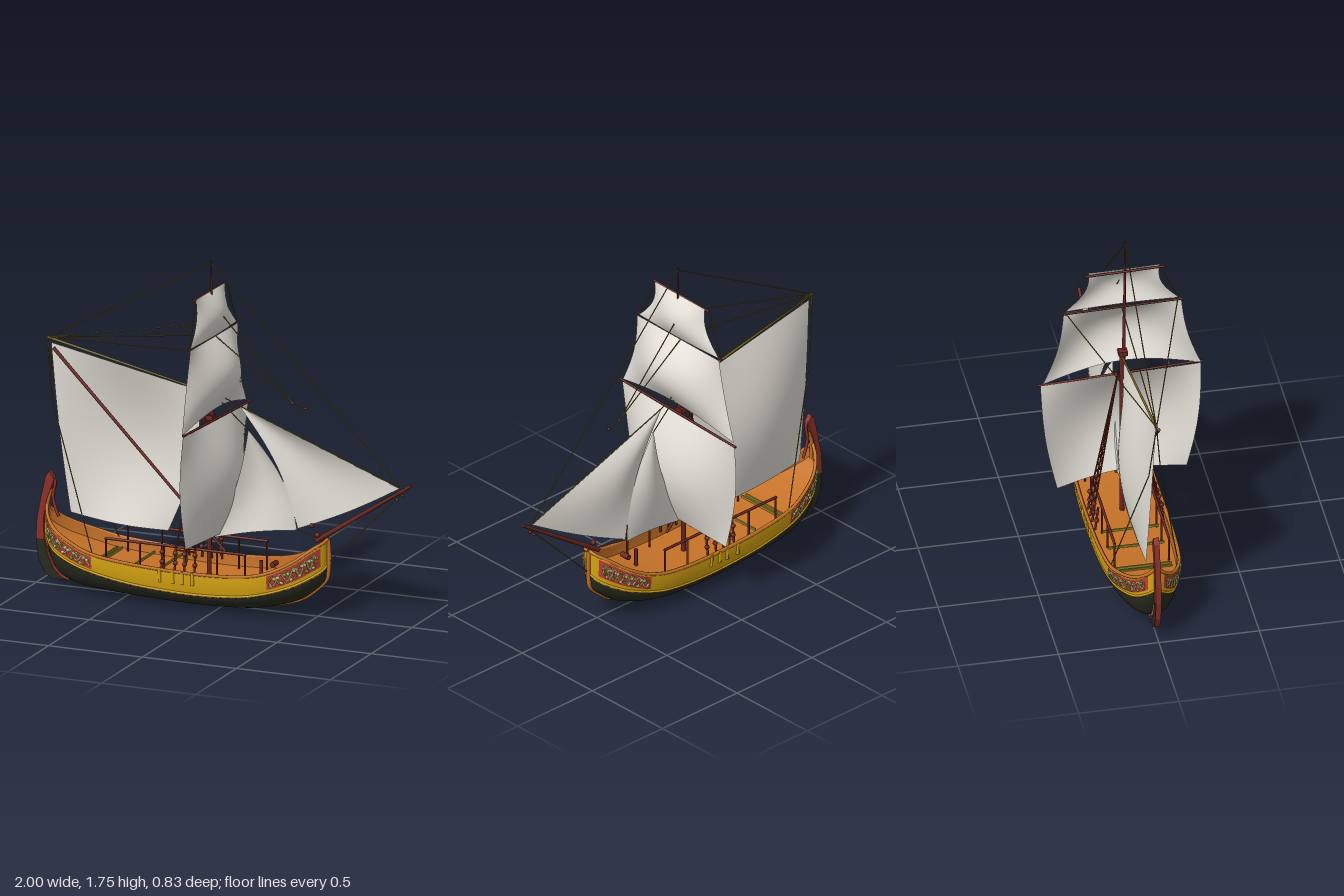
import * as THREE from 'three';

const mat = (name, color) => new THREE.MeshStandardMaterial({ name, color, side: THREE.DoubleSide });
const V = (p) => new THREE.Vector3(...p);

// Hull stations, stern to bow: x, rail height, half beam, paint border height, keel height
const STATIONS = [
  [-0.942, 0.41, 0.006, 0.27, 0.24], [-0.92, 0.36, 0.048, 0.235, 0.175], [-0.86, 0.31, 0.1, 0.19, 0.075],
  [-0.75, 0.265, 0.148, 0.155, 0.035], [-0.62, 0.23, 0.178, 0.13, 0.024], [-0.4, 0.21, 0.193, 0.1, 0.016],
  [-0.1, 0.2, 0.196, 0.086, 0.012], [0.15, 0.21, 0.192, 0.1, 0.02], [0.3, 0.24, 0.173, 0.13, 0.045],
  [0.42, 0.3, 0.135, 0.17, 0.085], [0.5, 0.36, 0.085, 0.21, 0.145], [0.54, 0.385, 0.04, 0.24, 0.185],
  [0.552, 0.4, 0.006, 0.26, 0.215]];

// Smooth interpolation between stations, s from 0 to 1
function station(s) {
  const n = STATIONS.length - 1, f = Math.min(Math.max(s, 0), 1) * n;
  const i = Math.min(Math.floor(f), n - 1), t = f - i;
  const at = (k) => STATIONS[Math.min(Math.max(k, 0), n)];
  return STATIONS[0].map((_, c) => {
    const p = [-1, 0, 1, 2].map((d) => at(i + d)[c]);
    const a = (p[2] - p[0]) / 2, b = (p[3] - p[1]) / 2;
    return (2 * p[1] - 2 * p[2] + a + b) * t ** 3 + (-3 * p[1] + 3 * p[2] - 2 * a - b) * t * t + a * t + p[1];
  });
}

function sOf(x) {
  let lo = 0, hi = 1;
  for (let i = 0; i < 30; i++) {
    const m = (lo + hi) / 2;
    if (station(m)[0] < x) lo = m; else hi = m;
  }
  return lo;
}

// Point on the hull skin: v 0..1 is rail to paint border, 1..2 is border to keel
function skin(s, v, side, off = 0) {
  const [x, rail, beam, border, keel] = station(s);
  let y, z;
  if (v <= 1) {
    y = rail + (border - rail) * v;
    z = beam * (1 + 0.02 * Math.sin(Math.PI * v) - 0.07 * v);
  } else {
    const a = (v - 1) * Math.PI / 2;
    z = 0.93 * beam * Math.max(Math.cos(a), 0) ** 0.75;
    y = border - (border - keel) * Math.sin(a) ** 1.2;
  }
  return [x, y, side * Math.max(z + off, 0)];
}

// Surface grid from a function of u and v
function grid(fn, nu, nv) {
  const pos = [], idx = [];
  for (let j = 0; j <= nv; j++) for (let i = 0; i <= nu; i++) {
    pos.push(...fn(i / nu, j / nv));
    if (i < nu && j < nv) {
      const a = j * (nu + 1) + i, b = a + nu + 1;
      idx.push(a, b, a + 1, a + 1, b, b + 1);
    }
  }
  const g = new THREE.BufferGeometry();
  g.setAttribute('position', new THREE.Float32BufferAttribute(pos, 3));
  g.setIndex(idx);
  g.computeVertexNormals();
  return g;
}

export function createModel() {
  const ship = new THREE.Group();
  ship.name = 'sailingShip';
  const yellow = mat('yellowPaint', 0xd6a412), tar = mat('blackTar', 0x272a1e), wood = mat('orangeWood', 0xc67228);
  const dark = mat('darkRedWood', 0x6a261f), red = mat('redPaint', 0xbc3c38), cloth = mat('sailCloth', 0xe3dfd7);
  const rope = mat('rope', 0x72601f), beige = mat('beigeOrnament', 0xc8b884), olive = mat('oliveTrim', 0x8f8a2c);
  const rudderRed = mat('rudderRed', 0x8c3028);

  const add = (name, geo, m) => {
    const mesh = new THREE.Mesh(geo, m);
    mesh.name = name;
    ship.add(mesh);
    return mesh;
  };
  const rod = (name, a, b, r, m, r2 = r, n = 8) => {
    const A = V(a), d = V(b).sub(A);
    const mesh = add(name, new THREE.CylinderGeometry(r2, r, d.length(), n), m);
    mesh.position.copy(A).addScaledVector(d, 0.5);
    mesh.quaternion.setFromUnitVectors(new THREE.Vector3(0, 1, 0), d.normalize());
  };
  const line = (name, pts, r = 0.003) => pts.slice(1).forEach((p, i) => rod(name, pts[i], p, r, rope, r, 5));
  const tube = (name, pts, r, m, seg = 60) =>
    add(name, new THREE.TubeGeometry(new THREE.CatmullRomCurve3(pts.map(V)), seg, r, 6), m);
  const box = (name, size, p, m) => add(name, new THREE.BoxGeometry(...size), m).position.set(...p);
  const ball = (name, r, p, m) => add(name, new THREE.SphereGeometry(r, 8, 6), m).position.set(...p);
  const run = (n, fn) => Array.from({ length: n + 1 }, (_, i) => fn(i / n));

  // Hull sides, bulwarks, mouldings and painted end panels
  for (const side of [1, -1]) {
    const strip = (name, x0, x1, v0, v1, off, m, nv) => {
      const s0 = sOf(x0), s1 = sOf(x1);
      add(name, grid((u, v) => skin(s0 + (s1 - s0) * u, v0 + (v1 - v0) * v, side, off), 64, nv), m);
    };
    strip('upperHull', -0.942, 0.552, 0, 1, 0, yellow, 6);
    strip('lowerHull', -0.942, 0.552, 1, 2, 0, tar, 14);
    strip('bulwark', -0.94, 0.55, -0.02, 0.6, -0.014, wood, 4);
    tube('railCap', run(40, (t) => skin(t, 0, side, -0.003)), 0.009, wood, 80);
    tube('wale', run(40, (t) => skin(t, 0.94, side, 0)), 0.006, yellow, 80);
    for (let x = -0.9; x < 0.54; x += 0.04) ball('stud', 0.005, skin(sOf(x), 1, side, 0.001), dark);
    for (const [x0, x1] of [[-0.928, -0.63], [0.3, 0.535]]) {
      strip('paintedPanel', x0, x1, 0.12, 0.76, 0.004, red, 5);
      const s0 = sOf(x0 + 0.012), s1 = sOf(x1 - 0.012);
      // Scrolling vines with leaves
      [[0, beige], [Math.PI, olive]].forEach(([phase, m]) => tube('vine',
        run(48, (t) => skin(s0 + (s1 - s0) * t, 0.44 + 0.2 * Math.sin(t * 26 + phase), side, 0.005)), 0.0045, m, 120));
      for (let i = 0; i < 18; i++) {
        const leaf = add('leaf', new THREE.SphereGeometry(0.011, 8, 6), i % 4 ? beige : olive);
        leaf.position.set(...skin(s0 + (s1 - s0) * (i + 0.5) / 18, 0.44 + 0.19 * Math.cos(i * 2.1), side, 0.005));
        leaf.scale.set(1.1, 0.8, 0.5);
      }
    }
  }

  // Deck, keel and posts
  add('deck', grid((u, v) => {
    const [x, rail, beam] = station(0.01 + 0.98 * u);
    return [x, rail - 0.05, (v * 2 - 1) * Math.max(beam - 0.008, 0)];
  }, 48, 4), wood);
  tube('keel', [[-0.938, 0.4, 0], ...run(30, (t) => skin(t, 2, 1)), [0.558, 0.3, 0], [0.552, 0.4, 0]], 0.012, wood, 100);
  tube('sternPost', [[-0.938, 0.3, 0], [-0.94, 0.4, 0], [-0.92, 0.49, 0]], 0.01, wood, 16);
  for (const x of [-0.63, -0.605, -0.43, -0.29]) box('deckBeam', [0.008, 0.012, 0.28], [x, 0.185, 0], olive);
  rod('windlass', [0.28, 0.25, 0.055], [0.28, 0.25, 0.005], 0.014, dark);
  rod('bitt', [0.21, 0.16, 0.03], [0.21, 0.26, 0.03], 0.009, dark);
  ball('stemBlock', 0.012, [0.475, 0.465, 0.02], dark);
  ball('stemBlock', 0.014, [0.505, 0.42, 0.02], dark);

  // Rudder: red head, tarred blade with a red edge, and a curling tiller
  const plate = (name, pts, m) => {
    const g = new THREE.ExtrudeGeometry(new THREE.Shape(pts.map((p) => new THREE.Vector2(...p))),
      { depth: 0.028, bevelEnabled: false });
    add(name, g.translate(0, 0, -0.014), m);
  };
  plate('rudderHead', [[-0.996, 0.23], [-0.953, 0.23], [-0.956, 0.33], [-0.94, 0.43], [-0.91, 0.51],
    [-0.9, 0.54], [-0.925, 0.58], [-0.945, 0.55], [-0.97, 0.44], [-0.99, 0.34]], rudderRed);
  plate('rudderBlade', [[-0.996, 0.23], [-0.983, 0.13], [-0.95, 0.06], [-0.91, 0.035], [-0.825, 0.035],
    [-0.865, 0.05], [-0.905, 0.09], [-0.938, 0.16], [-0.953, 0.23]], [tar, rudderRed]);
  tube('tiller', [[-0.93, 0.57, 0], [-0.9, 0.53, 0], [-0.91, 0.45, 0], [-0.9, 0.4, 0], [-0.88, 0.35, 0]], 0.008, rudderRed, 24);

  // Masts and spars
  const peak = [-0.94, 1.255, 0], truck = [-0.06, 1.735, 0.02];
  rod('lowerMast', [-0.08, 0.12, 0], [-0.08, 1.1, 0], 0.012, dark);
  rod('topMast', [-0.06, 0.93, 0.01], [-0.06, 1.75, 0.02], 0.01, dark, 0.004);
  for (const y of [0.95, 1.09]) box('mastCap', [0.04, 0.025, 0.045], [-0.07, y, 0.005], dark);
  rod('bowsprit', [0.49, 0.383, 0], [0.995, 0.72, 0], 0.013, dark, 0.008);
  rod('sprit', [-0.9, 1.21, 0.02], [0.015, 0.28, 0.02], 0.009, dark, 0.007);
  rod('headSpar', peak, [-0.08, 1.07, 0], 0.007, rope, 0.005);
  rod('mainYard', [-0.04, 0.962, 0.41], [-0.04, 0.925, -0.415], 0.006, dark);
  rod('topYard', [-0.065, 1.368, 0.31], [-0.065, 1.355, -0.29], 0.005, dark);
  rod('upperYard', [-0.08, 1.587, 0.21], [-0.08, 1.577, -0.185], 0.006, dark);

  // Sails: four corners, belly, and pulls on the left, right and bottom edges
  const sail = (name, c, belly, L, R, B, full = 1) => add(name, grid((u, v) => [0, 1, 2].map((k) => {
    const su = Math.max(Math.sin(Math.PI * u), 0), sv = Math.sin(Math.PI * v);
    return (c[0][k] * (1 - u) + c[1][k] * u) * (1 - v) + (c[3][k] * (1 - u) + c[2][k] * u) * v
      + belly[k] * sv * su ** full + (L[k] * (1 - u) + R[k] * u) * sv + B[k] * v * su;
  }), 24, 24), cloth);
  sail('mainSail', [[-0.045, 0.955, 0.4], [-0.045, 0.925, -0.4], [-0.065, 0.31, -0.32], [-0.065, 0.36, 0.325]],
    [0.11, 0, 0], [-0.015, 0, 0.02], [-0.015, 0, -0.02], [0.035, 0.02, 0], 0.9);
  sail('topSail', [[-0.05, 1.365, 0.3], [-0.05, 1.355, -0.285], [-0.05, 0.935, -0.39], [-0.05, 0.96, 0.4]],
    [0.1, 0, 0], [-0.01, 0, -0.02], [-0.01, 0, 0.02], [0.025, 0.06, 0], 0.9);
  sail('upperSail', [[-0.068, 1.594, 0.19], [-0.068, 1.588, -0.165], [-0.055, 1.362, -0.28], [-0.055, 1.37, 0.29]],
    [0.05, 0, 0], [0, 0, -0.04], [0, 0, 0.04], [0.01, 0, 0], 0.9);
  sail('spritSail', [[-0.92, 1.23, 0], [-0.125, 1.075, 0], [-0.31, 0.335, -0.03], [-0.83, 0.37, -0.03]],
    [0, 0, -0.08], [-0.01, 0, 0], [0.05, 0, 0], [0, -0.015, 0]);
  sail('outerJib', [[0.075, 1.02, -0.01], [0.08, 1.018, -0.01], [0.935, 0.7, 0], [0.365, 0.415, -0.06]],
    [0, 0, -0.035], [0.045, 0.01, 0], [0, 0, 0], [0, -0.015, 0]);
  sail('innerJib', [[0.125, 0.9, -0.005], [0.13, 0.9, -0.005], [0.36, 0.405, -0.065], [-0.06, 0.335, -0.01]],
    [0, 0, -0.035], [0.03, 0, 0], [0.05, 0.01, 0], [0, 0.01, 0]);

  // Standing and running rigging
  line('peakLift', [peak, truck]);
  line('peakStay', [peak, [-0.06, 1.365, 0]]);
  line('foreStay', [truck, [0.95, 0.695, 0]]);
  line('bowline', [[-0.06, 1.52, -0.01], [0.36, 1.065, -0.01], [0.43, 1.045, -0.01]]);
  line('topBowline', [[-0.05, 1.36, -0.01], [0.36, 1.065, -0.01]]);
  line('jibStay', [[-0.06, 1.08, 0], [0.075, 1.02, -0.01], [0.94, 0.7, 0]]);
  line('innerStay', [[-0.06, 1.07, 0], [0.13, 0.9, -0.005]]);
  line('jibSheet', [[0.36, 0.41, -0.06], [0.5, 0.4, 0]]);
  line('bobStay', [[0.96, 0.69, 0], [0.555, 0.28, 0]]);
  for (const p of [[0.36, 1.065, -0.01], [0.43, 1.045, -0.01], [0.92, 0.64, 0], [0.95, 0.665, 0]])
    ball('block', 0.008, p, dark);
  for (const side of [1, -1]) {
    line('brace', [peak, [-0.06, 1.36, side * 0.28]]);
    line('vang', [peak, [-0.9, 0.94, side * 0.03], [-0.63, 0.23, side * 0.165]]);
    line('yardLift', [[-0.07, 1.585, side * 0.19], [-0.06, 1.36, side * 0.29]]);

    // Shrouds, ratlines and deadeyes
    const top = V([-0.09, 1.0, side * 0.02]);
    const feet = [-0.19, -0.14, -0.09].map((x) => V([x, 0.3, side * 0.155]));
    feet.forEach((f) => rod('shroud', f.toArray(), top.toArray(), 0.0045, dark, 0.004, 5));
    for (let i = 0; i < 15; i++) {
      const t = i / 17;
      rod('ratline', feet[0].clone().lerp(top, t).toArray(), feet[2].clone().lerp(top, t).toArray(), 0.0045, dark, 0.0045, 5);
    }
    for (const x of [-0.26, -0.19, -0.14, -0.085]) {
      rod('deadeyePost', [x, 0.18, side * 0.17], [x, 0.31, side * 0.155], 0.006, dark);
      for (const y of [0.235, 0.285]) ball('deadeye', 0.013, [x, y, side * 0.162], dark);
      rod('chainPlate', [x, 0.205, side * 0.194], [x, 0.14, side * 0.193], 0.009, yellow);
    }

    // Deck railing
    rod('railing', [-0.575, 0.31, side * 0.135], [0.175, 0.31, side * 0.135], 0.007, dark);
    for (const x of [-0.57, -0.39, -0.26, 0.02, 0.17])
      rod('railingPost', [x, 0.15, side * 0.135], [x, 0.31, side * 0.135], 0.005, dark);
  }
  return ship;
}
